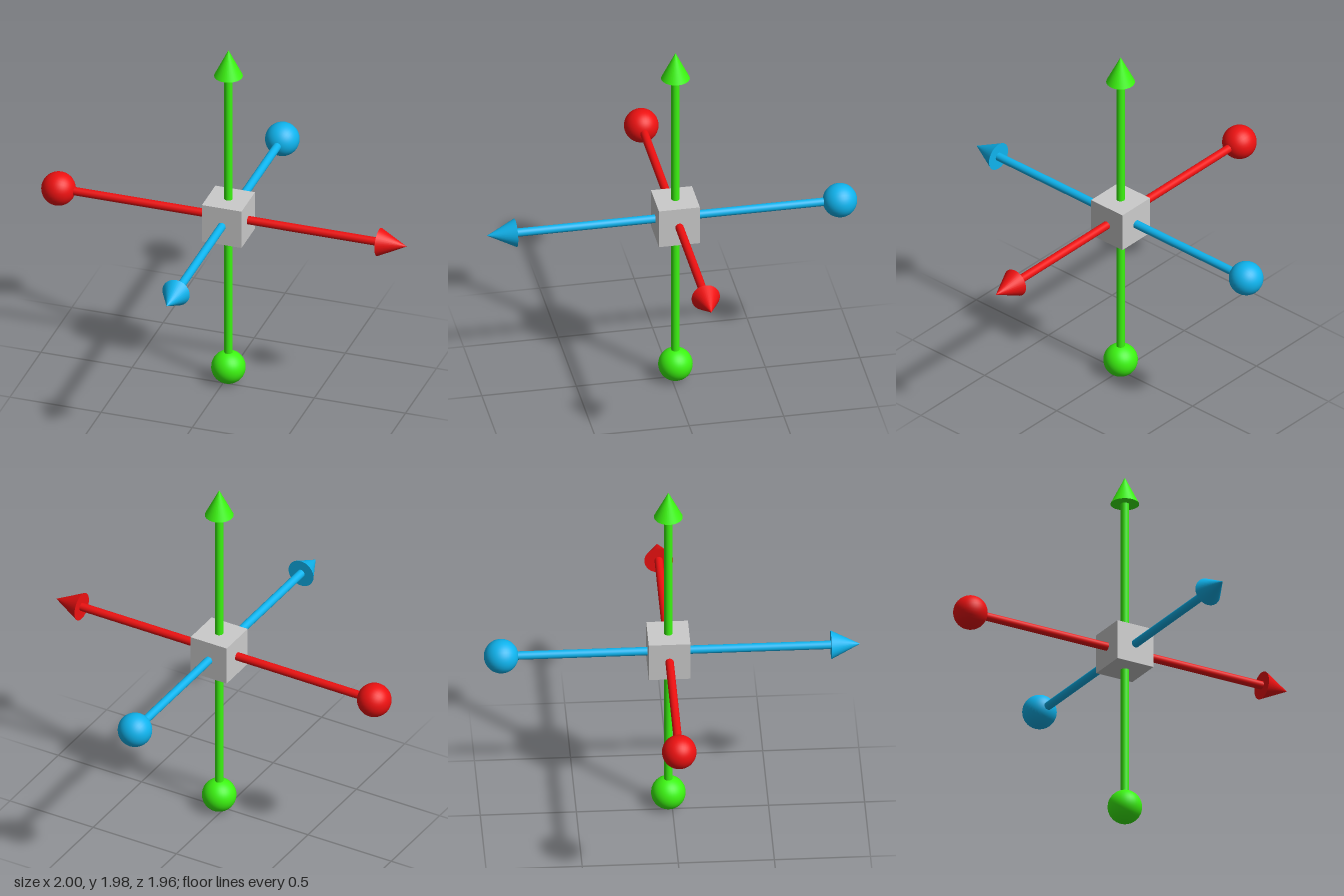
import * as THREE from 'three';

const CENTER = new THREE.Vector3(0.022, 0.983, -0.02);
const BALL_R = 0.09, SHAFT_R = 0.022, CONE_R = 0.075, CONE_H = 0.152;

// One axis along +y: ball at the negative end, cone at the positive end
function makeAxis(name, color, ballAt, tipAt) {
  const axis = new THREE.Group();
  axis.name = name;
  const material = new THREE.MeshStandardMaterial({ color });
  const add = (part, geometry, y) => {
    const mesh = new THREE.Mesh(geometry, material);
    mesh.name = name + part;
    mesh.position.y = y;
    axis.add(mesh);
  };
  const coneBase = tipAt - CONE_H;
  add('Shaft', new THREE.CylinderGeometry(SHAFT_R, SHAFT_R, coneBase - ballAt, 32), (coneBase + ballAt) / 2);
  add('Arrowhead', new THREE.ConeGeometry(CONE_R, CONE_H, 32), tipAt - CONE_H / 2);
  add('Ball', new THREE.SphereGeometry(BALL_R, 32, 24), ballAt);
  axis.position.copy(CENTER);
  return axis;
}

export function createModel() {
  const model = new THREE.Group();
  model.name = 'axisGizmo';

  // Central cube
  const cube = new THREE.Mesh(
    new THREE.BoxGeometry(0.217, 0.217, 0.217),
    new THREE.MeshStandardMaterial({ color: 0xcccccc })
  );
  cube.name = 'centerCube';
  cube.position.copy(CENTER);
  model.add(cube);

  // Three coloured axes
  const xAxis = makeAxis('xAxis', 0xee1111, -0.932, 0.978);
  xAxis.rotation.z = -Math.PI / 2;
  const yAxis = makeAxis('yAxis', 0x3cf511, -0.893, 0.994);
  const zAxis = makeAxis('zAxis', 0x0fb4ee, -0.87, 0.998);
  zAxis.rotation.x = Math.PI / 2;
  model.add(xAxis, yAxis, zAxis);

  return model;
}
